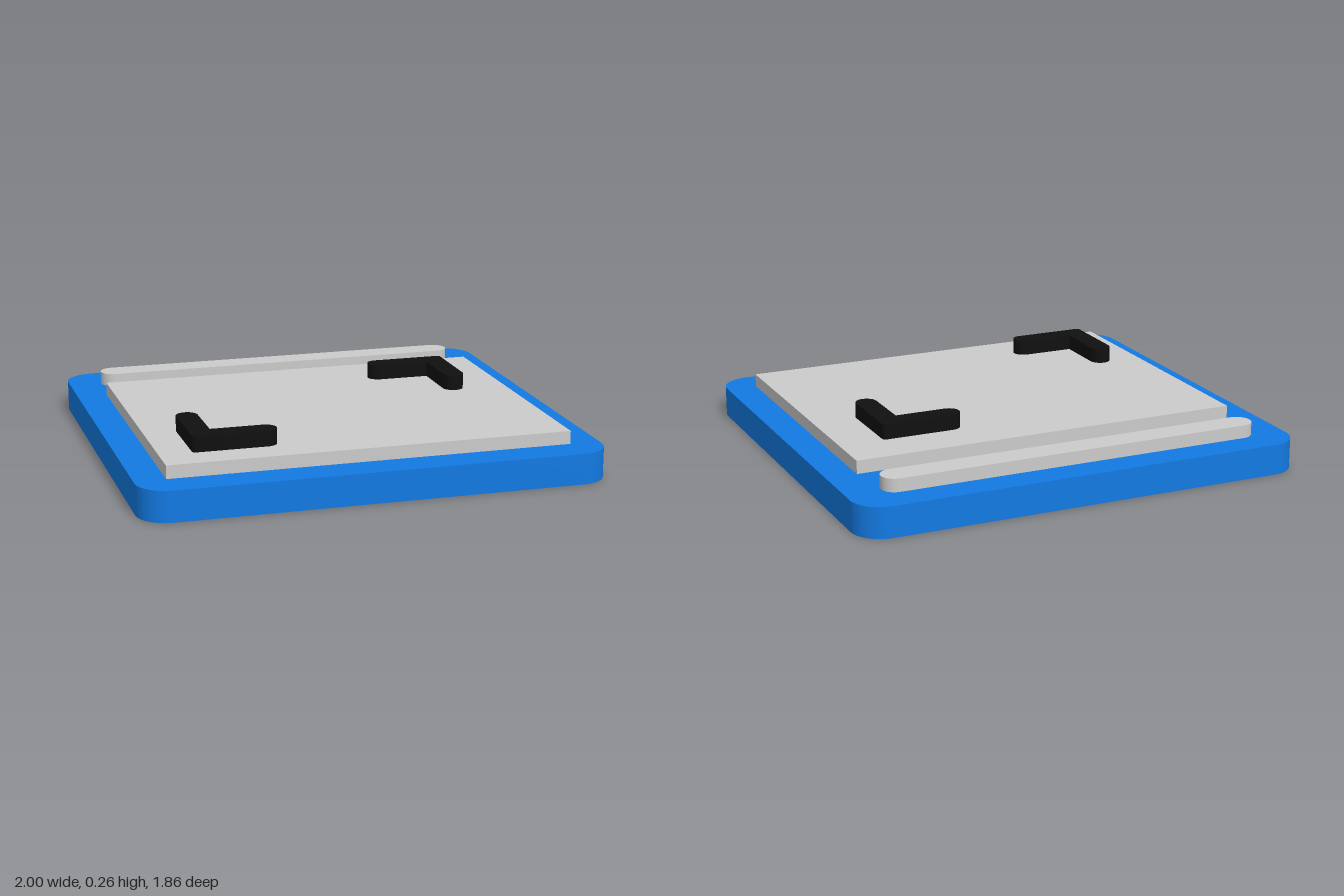
import * as THREE from 'three';
import { toCreasedNormals } from 'three/addons/utils/BufferGeometryUtils.js';

const BASE_TOP = 0.133, PANEL_TOP = 0.19, BRACKET_TOP = 0.257;

const blue = new THREE.MeshStandardMaterial({ color: 0x137ae2 });
const grey = new THREE.MeshStandardMaterial({ color: 0xcccccc });
const black = new THREE.MeshStandardMaterial({ color: 0x101010 });

// Flat plate: an outline in plan (shape y points to the back) raised to a height
function plate(name, shape, height, material) {
  const geometry = new THREE.ExtrudeGeometry(shape, { depth: height, bevelEnabled: false, curveSegments: 12 });
  geometry.rotateX(-Math.PI / 2);
  const mesh = new THREE.Mesh(toCreasedNormals(geometry, Math.PI / 6), material);
  mesh.name = name;
  return mesh;
}

// Rectangle centred on the origin with rounded corners
function roundedRect(width, depth, r) {
  const x = width / 2, y = depth / 2;
  const s = new THREE.Shape();
  s.absarc(x - r, y - r, r, 0, Math.PI / 2);
  s.absarc(r - x, y - r, r, Math.PI / 2, Math.PI);
  s.absarc(r - x, r - y, r, Math.PI, Math.PI * 1.5);
  s.absarc(x - r, r - y, r, Math.PI * 1.5, Math.PI * 2);
  s.closePath();
  return s;
}

// L outline with round ends; its outer corner is at the back left of the model
function bracketShape(size, width) {
  const h = size / 2, r = width / 2, corner = 0.015;
  const s = new THREE.Shape();
  s.absarc(h - corner, h - corner, corner, 0, Math.PI / 2);
  s.absarc(r - h, h - r, r, Math.PI / 2, Math.PI * 1.5);
  s.lineTo(h - width, h - width);
  s.absarc(h - r, r - h, r, Math.PI, Math.PI * 2);
  s.closePath();
  return s;
}

export function createModel() {
  const model = new THREE.Group();
  model.name = 'tray';

  // Base slab
  model.add(plate('base', roundedRect(2, 1.86, 0.13), BASE_TOP, blue));

  // Raised main panel
  const panelHeight = PANEL_TOP - BASE_TOP;
  const panel = new THREE.Mesh(new THREE.BoxGeometry(1.735, panelHeight, 1.31), grey);
  panel.name = 'panel';
  panel.position.set(0, BASE_TOP + panelHeight / 2, 0.125);
  model.add(panel);

  // Round-ended bar along the back
  const bar = plate('backBar', roundedRect(1.7, 0.12, 0.0599), panelHeight, grey);
  bar.position.set(-0.006, BASE_TOP, -0.735);
  model.add(bar);

  // Two corner brackets facing each other across the panel
  const brackets = [
    ['leftBracket', 0.491, -0.151, 0],
    ['rightBracket', -0.545, 0.46, Math.PI],
  ];
  for (const [name, x, z, turn] of brackets) {
    const bracket = plate(name, bracketShape(0.364, 0.093), BRACKET_TOP - PANEL_TOP, black);
    bracket.position.set(x, PANEL_TOP, z);
    bracket.rotation.y = turn;
    model.add(bracket);
  }
  return model;
}
